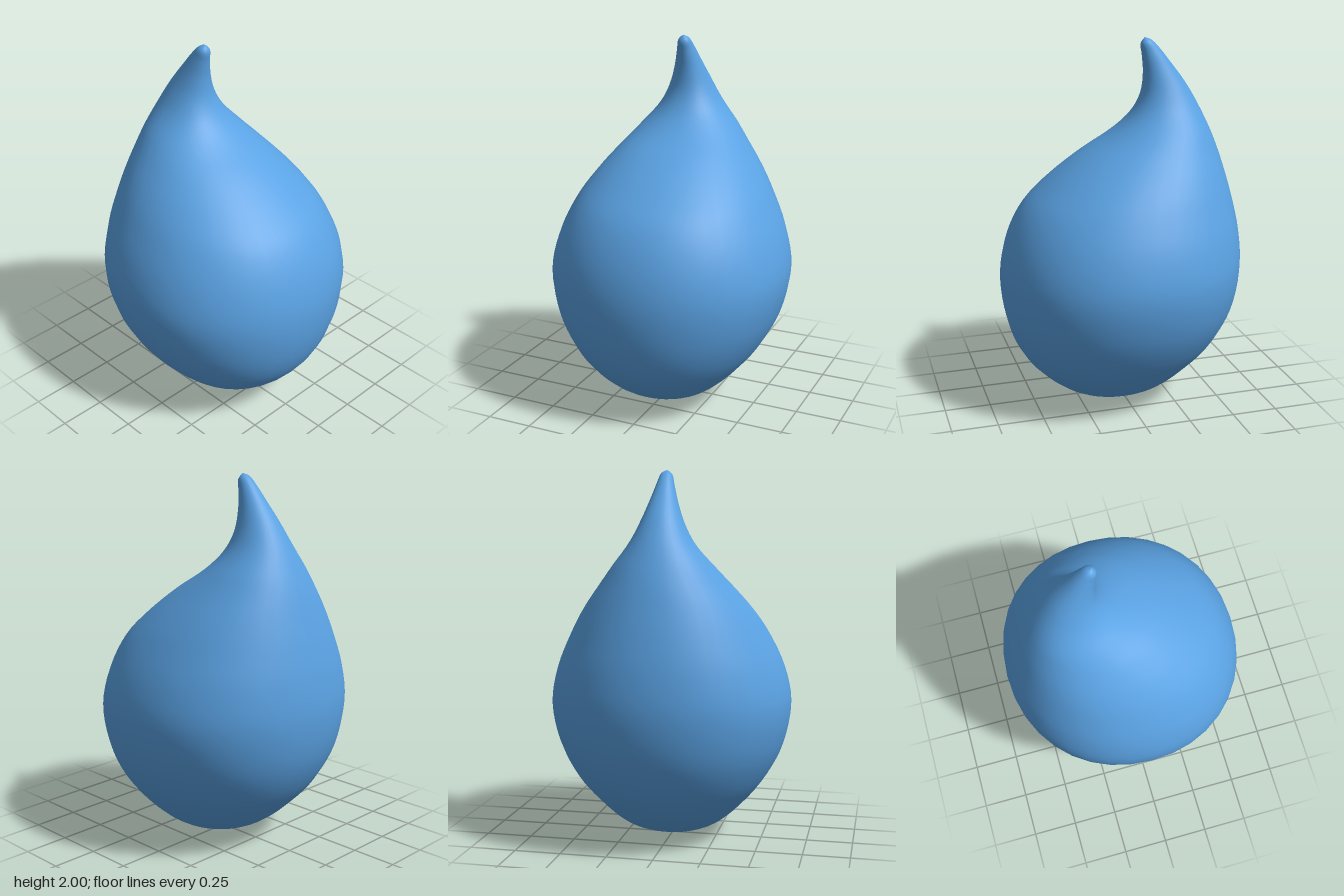
import * as THREE from 'three';
import { mergeVertices } from 'three/addons/utils/BufferGeometryUtils.js';

// Rings of the drop, bottom to tip: left edge x, y, right edge x, y, half depth in z
const RINGS = [
  [0.045, 0, 0.045, 0, 0],
  [-0.03, 0.008, 0.12, 0.008, 0.075],
  [-0.11, 0.03, 0.2, 0.03, 0.15],
  [-0.257, 0.09, 0.345, 0.09, 0.28],
  [-0.415, 0.22, 0.5, 0.22, 0.42],
  [-0.53, 0.355, 0.59, 0.355, 0.525],
  [-0.62, 0.54, 0.643, 0.53, 0.613],
  [-0.66, 0.77, 0.657, 0.74, 0.653],
  [-0.648, 0.97, 0.62, 0.93, 0.615],
  [-0.612, 1.15, 0.53, 1.11, 0.535],
  [-0.571, 1.3, 0.4, 1.24, 0.45],
  [-0.533, 1.42, 0.22, 1.38, 0.35],
  [-0.493, 1.52, 0.034, 1.5, 0.262],
  [-0.43, 1.65, -0.07, 1.6, 0.168],
  [-0.36, 1.765, -0.122, 1.7, 0.112],
  [-0.28, 1.87, -0.135, 1.81, 0.072],
  [-0.215, 1.95, -0.126, 1.91, 0.045],
  [-0.175, 1.988, -0.119, 1.965, 0.03],
  [-0.14, 2, -0.14, 2, 0],
];
const AROUND = 36;
const STEPS = (RINGS.length - 1) * 4;

// Slightly squared circle
const squared = (v) => Math.sign(v) * Math.abs(v) ** (2 / 2.1);

function dropGeometry() {
  // The left curve also carries the half depth in its z
  const left = new THREE.CatmullRomCurve3(RINGS.map((r) => new THREE.Vector3(r[0], r[1], r[4])));
  const right = new THREE.CatmullRomCurve3(RINGS.map((r) => new THREE.Vector3(r[2], r[3], r[4])));
  const positions = [];
  const index = [];
  for (let i = 0; i <= STEPS; i++) {
    const l = left.getPoint(i / STEPS);
    const r = right.getPoint(i / STEPS);
    for (let j = 0; j < AROUND; j++) {
      const a = (j / AROUND) * Math.PI * 2;
      const k = (1 + squared(Math.cos(a))) / 2;
      positions.push(
        l.x + (r.x - l.x) * k,
        l.y + (r.y - l.y) * k,
        l.z * squared(Math.sin(a)),
      );
      if (i === STEPS) continue;
      const p = i * AROUND + j;
      const q = i * AROUND + ((j + 1) % AROUND);
      // Single triangles at the two poles
      if (i < STEPS - 1) index.push(p, p + AROUND, q + AROUND);
      if (i > 0) index.push(p, q + AROUND, q);
    }
  }
  const geometry = new THREE.BufferGeometry();
  geometry.setAttribute('position', new THREE.Float32BufferAttribute(positions, 3));
  geometry.setIndex(index);
  const merged = mergeVertices(geometry, 1e-5);
  merged.computeVertexNormals();
  return merged;
}

export function createModel() {
  const group = new THREE.Group();
  group.name = 'waterDrop';
  const drop = new THREE.Mesh(dropGeometry(), new THREE.MeshStandardMaterial({ color: 0x5aa2e3 }));
  drop.name = 'dropBody';
  group.add(drop);
  return group;
}
